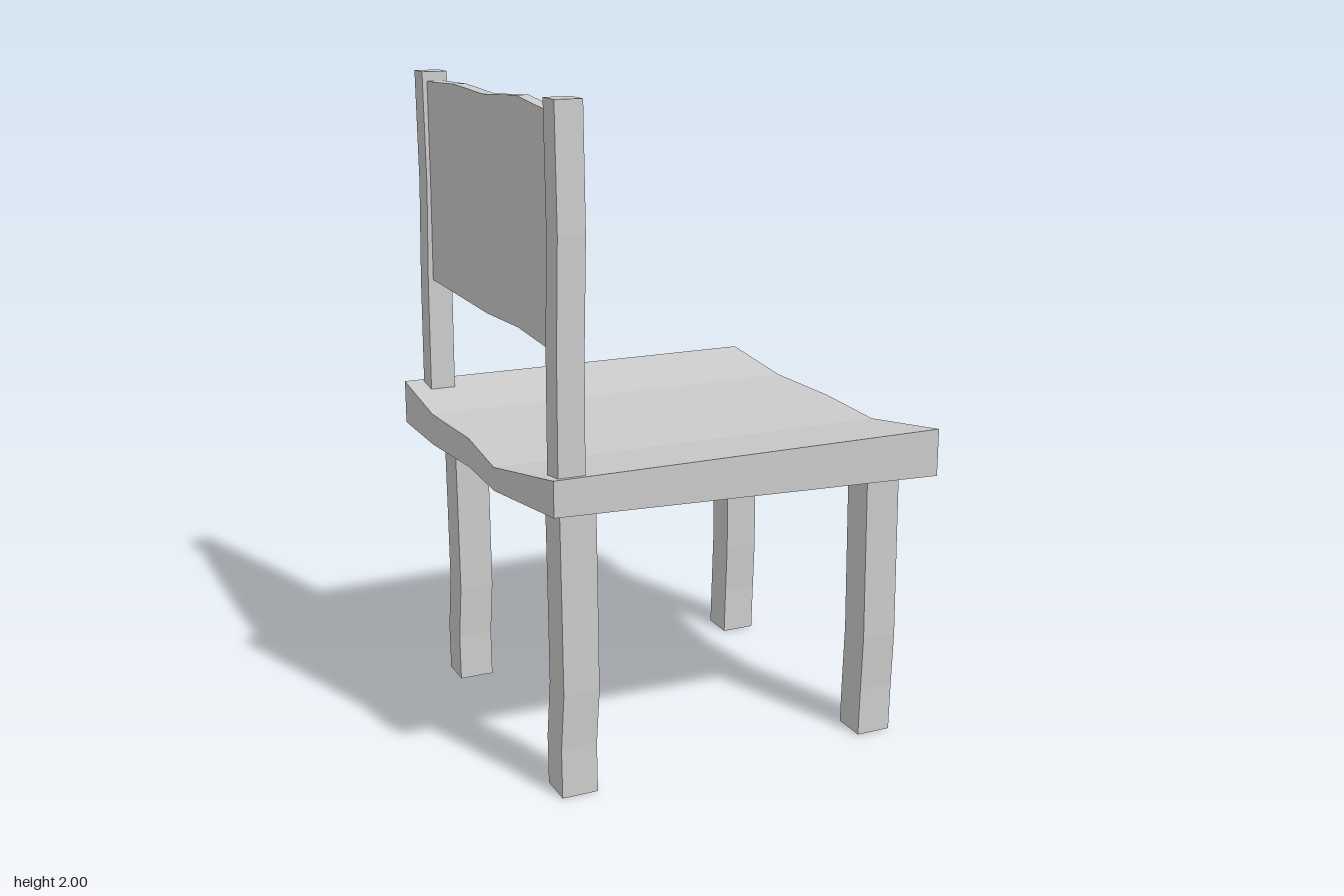
import * as THREE from 'three';

const material = new THREE.MeshStandardMaterial({ color: 0xcccccc, flatShading: true, side: THREE.DoubleSide });

// Skins a row of four-cornered rings (counter-clockwise seen from the end) and caps both ends.
function loft(name, rings) {
  const positions = [];
  const quad = (a, b, c, d) => positions.push(...a, ...b, ...c, ...a, ...c, ...d);
  for (let i = 0; i < rings.length - 1; i++) {
    const r = rings[i], s = rings[i + 1];
    for (let j = 0; j < 4; j++) {
      const k = (j + 1) % 4;
      quad(r[j], r[k], s[k], s[j]);
    }
  }
  const first = rings[0], last = rings[rings.length - 1];
  quad(first[3], first[2], first[1], first[0]);
  quad(...last);
  const geometry = new THREE.BufferGeometry();
  geometry.setAttribute('position', new THREE.Float32BufferAttribute(positions, 3));
  geometry.computeVertexNormals();
  const mesh = new THREE.Mesh(geometry, material);
  mesh.name = name;
  return mesh;
}

// Upright ring: height and the x and z limits.
const level = (y, x0, x1, z0, z1) => [[x0, y, z1], [x1, y, z1], [x1, y, z0], [x0, y, z0]];

// Upright square timber with slight hand-cut offsets [y, dx, dz] along its height.
const timber = (name, x, z, size, steps) => loft(name, steps.map(([y, dx, dz]) =>
  level(y, x + dx - size / 2, x + dx + size / 2, z + dz - size / 2, z + dz + size / 2)));

export function createModel() {
  const chair = new THREE.Group();
  chair.name = 'chair';

  // Seat, dished across z: [z, x0, x1, bottom at x0, bottom at x1, top]
  const seat = [
    [-0.62, -0.625, 0.60, 0.85, 0.85, 0.99],
    [-0.31, -0.63, 0.61, 0.855, 0.85, 0.955],
    [0, -0.615, 0.62, 0.865, 0.85, 0.955],
    [0.31, -0.645, 0.60, 0.885, 0.85, 0.955],
    [0.62, -0.585, 0.64, 0.89, 0.85, 0.995],
  ];
  chair.add(loft('seat', seat.map(([z, x0, x1, b0, b1, t]) =>
    [[x0, b0, z], [x1, b1, z], [x1, t, z], [x0, t, z]])));

  // Four legs with a small wobble
  const legs = new THREE.Group();
  legs.name = 'legs';
  for (const x of [-0.475, 0.515]) {
    for (const z of [-0.455, 0.465]) {
      const s = Math.sign(x);
      legs.add(timber(x > 0 ? 'frontLeg' : 'backLeg', x, z, 0.11, [
        [0, -0.003, 0],
        [0.15, s * 0.003, -0.004],
        [0.32, 0.004, 0.003],
        [0.6, 0.003, 0],
        [0.9, 0, 0],
      ]));
    }
  }
  chair.add(legs);

  // Two posts carrying the back panel
  const backrest = new THREE.Group();
  backrest.name = 'backrest';
  for (const side of [-1, 1]) {
    backrest.add(timber('backPost', -0.52, side * 0.562, 0.08, [
      [0.95, -0.005, 0],
      [1.33, -0.002, -0.004],
      [1.65, 0.003, 0.002],
      [2, 0, 0],
    ]));
  }

  // Back panel: [z, back x below, back x above, front x, bottom, top]
  const panel = [
    [-0.53, -0.545, -0.545, -0.49, 1.34, 1.97],
    [-0.26, -0.545, -0.545, -0.505, 1.335, 1.98],
    [0, -0.545, -0.545, -0.507, 1.33, 1.97],
    [0.26, -0.545, -0.537, -0.5, 1.34, 1.985],
    [0.53, -0.545, -0.53, -0.49, 1.325, 1.955],
  ];
  backrest.add(loft('backPanel', panel.map(([z, low, high, front, b, t]) =>
    [[low, b, z], [front, b, z], [front, t, z], [high, t, z]])));
  chair.add(backrest);

  return chair;
}
